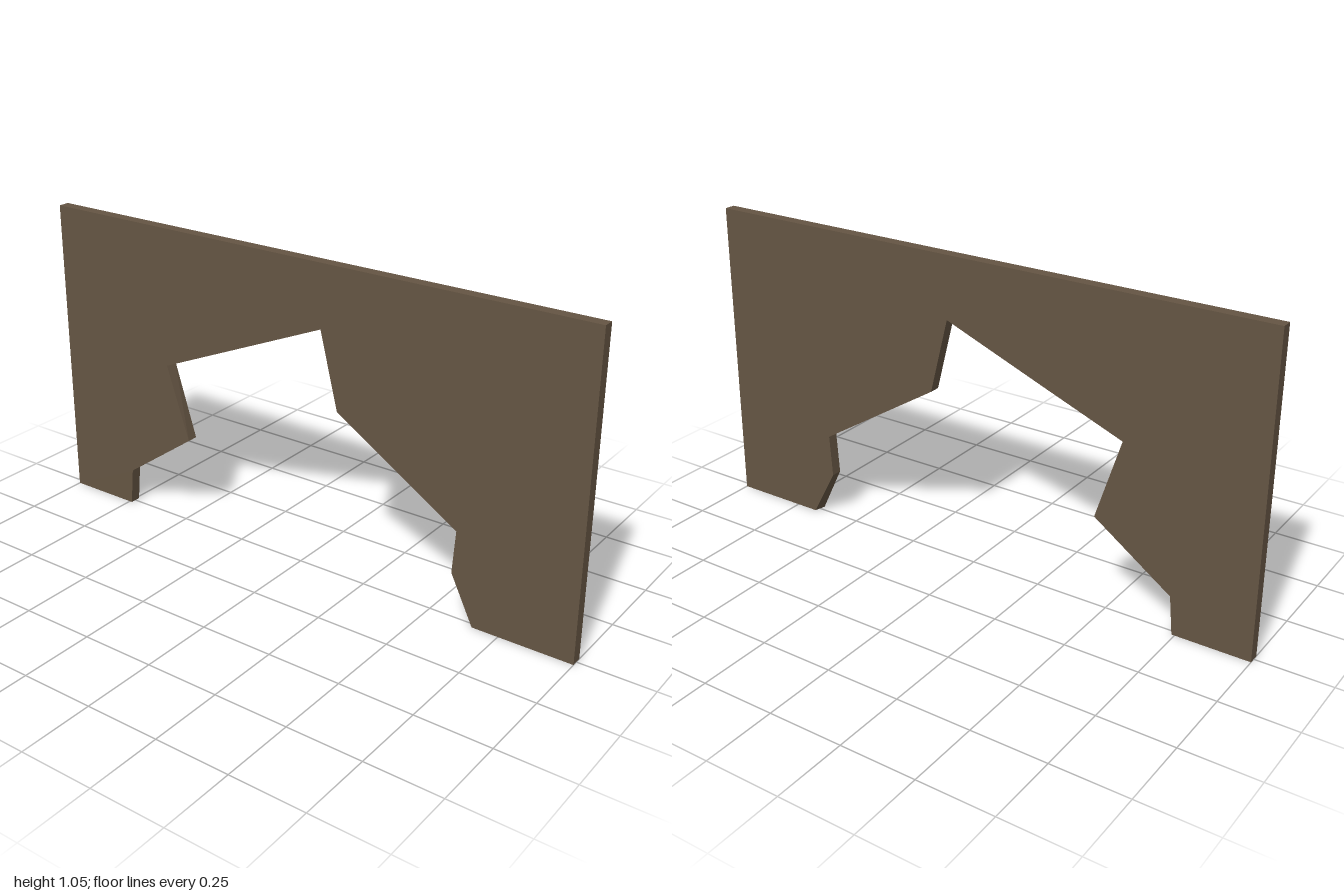
import * as THREE from 'three';

const THICKNESS = 0.038;

// Wall outline as [z, y]; an optional second pair is the corner on the -x face
const OUTLINE = [
  [1, 0],
  [0.67, 0, 0.66, 0],
  [0.58, 0.165],
  [0.59, 0.31],
  [0.152, 0.585],
  [0.088, 0.842],
  [-0.27, 0.701],
  [-0.542, 0.595, -0.542, 0.575],
  [-0.457, 0.32],
  [-0.727, 0.13],
  [-0.74, 0],
  [-1, 0],
  [-1, 1.053],
  [1, 1.053],
];

export function createModel() {
  const wood = new THREE.MeshStandardMaterial({ color: 0x655543 });
  wood.name = 'brown';

  // Flat slab with the jagged opening, turned so its thickness runs along x
  const shape = new THREE.Shape(OUTLINE.map(([z, y]) => new THREE.Vector2(-z, y)));
  const geometry = new THREE.ExtrudeGeometry(shape, { depth: THICKNESS, bevelEnabled: false });
  geometry.translate(0, 0, -THICKNESS / 2).rotateY(Math.PI / 2);

  // Skew the broken edge slightly through the thickness
  const position = geometry.attributes.position;
  for (let i = 0; i < position.count; i++) {
    if (position.getX(i) > 0) continue;
    for (const [z, y, farZ, farY] of OUTLINE) {
      if (farZ === undefined) continue;
      if (Math.hypot(position.getZ(i) - z, position.getY(i) - y) < 0.001) {
        position.setZ(i, farZ);
        position.setY(i, farY);
        break;
      }
    }
  }
  geometry.computeVertexNormals();

  const wall = new THREE.Mesh(geometry, wood);
  wall.name = 'brokenWall';
  const model = new THREE.Group();
  model.name = 'wallWithHole';
  model.add(wall);
  return model;
}
